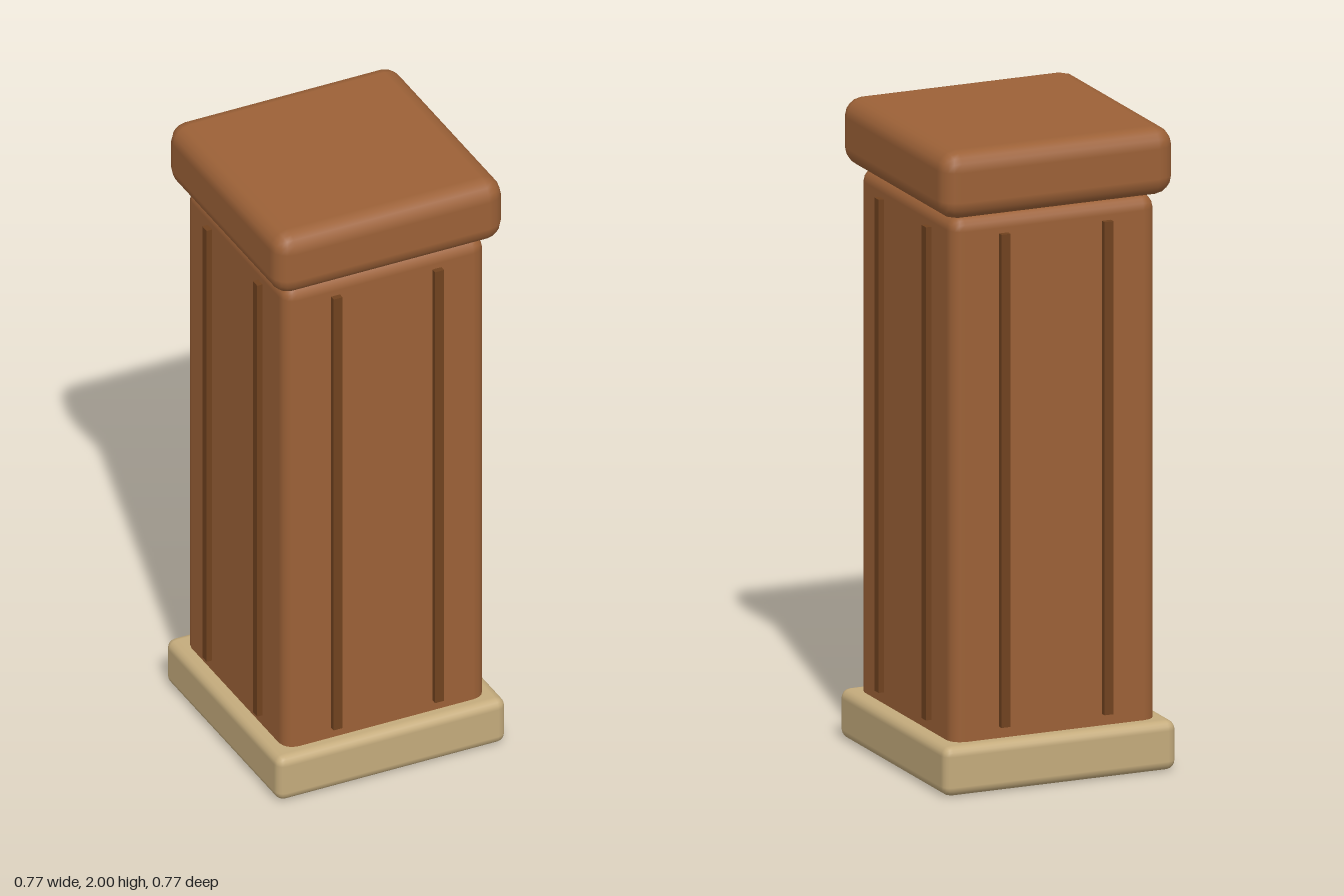
import * as THREE from 'three';
import { RoundedBoxGeometry } from 'three/addons/geometries/RoundedBoxGeometry.js';

const material = (name, color) => {
  const m = new THREE.MeshStandardMaterial({ color });
  m.name = name;
  return m;
};

export function createModel() {
  const wood = material('warm wood', 0x9c6137);
  const groove = material('dark wood', 0x70421f);
  const stone = material('tan stone', 0xc4ab7c);
  const model = new THREE.Group();
  model.name = 'pillar';

  // Square rounded block spanning two heights
  const block = (name, width, y0, y1, radius, mat) => {
    const mesh = new THREE.Mesh(new RoundedBoxGeometry(width, y1 - y0, width, 2, radius), mat);
    mesh.name = name;
    mesh.position.y = (y0 + y1) / 2;
    model.add(mesh);
  };
  block('base', 0.768, 0, 0.155, 0.03, stone);
  block('shaft', 0.676, 0.08, 1.787, 0.045, wood);
  block('cap', 0.768, 1.787, 2, 0.06, wood);

  // Two dark vertical strips on each of the four sides
  const stripGeometry = new THREE.BoxGeometry(0.03, 1.535, 0.036);
  for (let side = 0; side < 4; side++) {
    const face = new THREE.Group();
    face.name = 'sideStrips';
    face.rotation.y = side * Math.PI / 2;
    for (const x of [-0.17, 0.17]) {
      const strip = new THREE.Mesh(stripGeometry, groove);
      strip.name = 'strip';
      strip.position.set(x, 0.958, 0.338);
      face.add(strip);
    }
    model.add(face);
  }
  return model;
}
